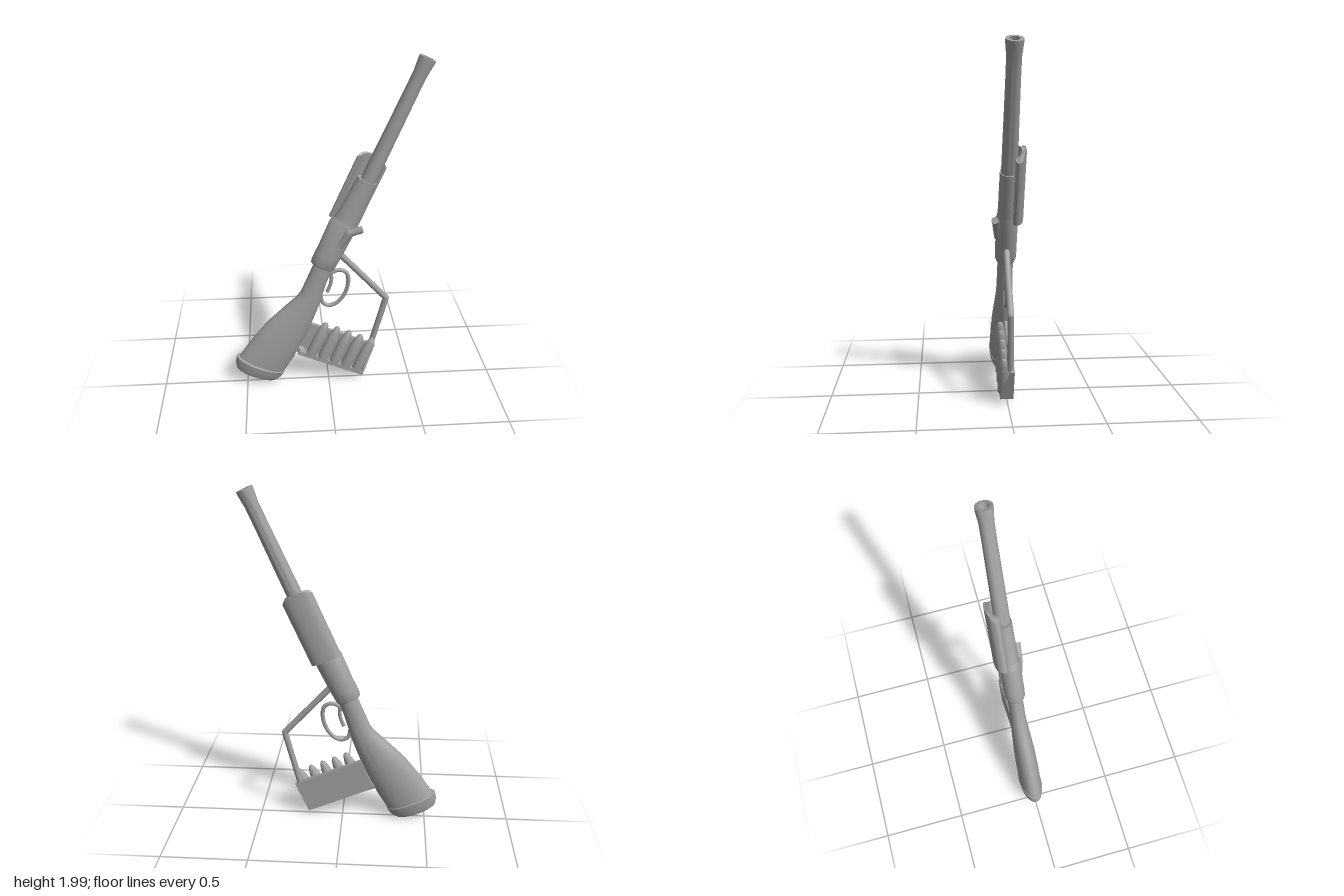
import * as THREE from 'three';
import { toCreasedNormals } from 'three/addons/utils/BufferGeometryUtils.js';

const V = (x, y, z) => new THREE.Vector3(x, y, z);

// Closed loft of elliptical sections, listed bottom to top: [y, xMin, xMax, zHalf]
function loft(sections, sides = 28) {
  const pos = [], idx = [];
  for (const [y, a, b, zh] of sections) {
    for (let i = 0; i < sides; i++) {
      const t = (i / sides) * Math.PI * 2;
      pos.push((a + b) / 2 + ((b - a) / 2) * Math.cos(t), y, zh * Math.sin(t));
    }
  }
  const n = sections.length;
  for (let j = 0; j < n - 1; j++) {
    for (let i = 0; i < sides; i++) {
      const k = (i + 1) % sides, p = j * sides, q = p + sides;
      idx.push(p + i, q + i, p + k, p + k, q + i, q + k);
    }
  }
  [0, n - 1].forEach((j) => {
    const c = pos.length / 3, [y, a, b] = sections[j];
    pos.push((a + b) / 2, y, 0);
    for (let i = 0; i < sides; i++) {
      const p = j * sides + i, q = j * sides + ((i + 1) % sides);
      if (j === 0) idx.push(c, p, q); else idx.push(c, q, p);
    }
  });
  const g = new THREE.BufferGeometry();
  g.setAttribute('position', new THREE.Float32BufferAttribute(pos, 3));
  g.setIndex(idx);
  return toCreasedNormals(g, 0.5);
}

const lathe = (pts, sides) =>
  toCreasedNormals(new THREE.LatheGeometry(pts.map(([r, y]) => new THREE.Vector2(r, y)), sides), 0.6);

export function createModel() {
  const model = new THREE.Group();
  const steel = new THREE.MeshStandardMaterial({ color: 0x9f9f9f });
  steel.name = 'plain grey';

  const add = (parent, name, geometry, x = 0, y = 0, z = 0) => {
    const m = new THREE.Mesh(geometry, steel);
    m.name = name;
    m.position.set(x, y, z);
    parent.add(m);
    return m;
  };
  // Tapered rod between two points
  const rod = (parent, name, a, b, ra, rb = ra, sides = 14) => {
    const d = b.clone().sub(a);
    const m = add(parent, name, new THREE.CylinderGeometry(rb, ra, d.length(), sides));
    m.position.copy(a).addScaledVector(d, 0.5);
    m.quaternion.setFromUnitVectors(V(0, 1, 0), d.normalize());
    return m;
  };

  // Tilted body: local y runs along the barrel, with 0 at the muzzle
  const body = new THREE.Group();
  body.name = 'tiltedBody';
  body.position.set(0.513, 1.98, -0.006);
  body.rotation.z = -0.4149;
  model.add(body);

  // Barrel with flared muzzle and bore
  add(body, 'barrel', lathe([
    [0, -0.95], [0.045, -0.95], [0.044, -0.7], [0.039, -0.2], [0.039, -0.09],
    [0.046, -0.02], [0.046, 0], [0.028, 0], [0.026, -0.16], [0, -0.16],
  ], 28));

  // Sleeve and receiver
  add(body, 'sleeve', loft([
    [-1.03, -0.088, 0.06, 0.056], [-0.95, -0.078, 0.06, 0.053], [-0.73, -0.064, 0.052, 0.05],
  ]));
  add(body, 'receiver', loft([
    [-1.31, -0.094, 0.046, 0.054], [-1.295, -0.098, 0.05, 0.06], [-1.24, -0.098, 0.054, 0.062],
    [-1.21, -0.096, 0.056, 0.061], [-1.03, -0.1, 0.064, 0.061], [-0.99, -0.08, 0.06, 0.053],
  ]));

  // Curved shell along the back of the sleeve
  const s = new THREE.Shape();
  s.moveTo(-0.09, 0.025);
  s.quadraticCurveTo(-0.105, 0.03, -0.105, 0.045);
  s.quadraticCurveTo(-0.095, 0.088, -0.015, 0.088);
  s.quadraticCurveTo(0.066, 0.088, 0.076, 0.045);
  s.quadraticCurveTo(0.076, 0.03, 0.06, 0.025);
  s.quadraticCurveTo(0.04, 0.062, -0.015, 0.062);
  s.quadraticCurveTo(-0.07, 0.062, -0.09, 0.025);
  const shell = new THREE.ExtrudeGeometry(s, { depth: 0.42, bevelEnabled: false, steps: 12, curveSegments: 10 });
  shell.rotateX(-Math.PI / 2); // extrusion runs up, profile faces the back
  const sp = shell.attributes.position;
  for (let i = 0; i < sp.count; i++) { // round the corners of the upper end
    const e = Math.abs(sp.getX(i) + 0.015) / 0.09;
    if (sp.getY(i) > 0.41) sp.setY(i, 0.42 - 0.045 * Math.pow(e, 4));
  }
  shell.computeVertexNormals();
  add(body, 'backShell', toCreasedNormals(shell, 0.5), 0, -1.022, 0);

  // Stock and butt pad
  add(body, 'stock', loft([
    [-2.08, -0.247, 0.046, 0.066], [-1.95, -0.222, 0.064, 0.068], [-1.79, -0.181, 0.071, 0.064],
    [-1.66, -0.128, 0.07, 0.056], [-1.55, -0.08, 0.064, 0.049], [-1.51, -0.072, 0.058, 0.047],
    [-1.4, -0.073, 0.044, 0.045], [-1.28, -0.075, 0.036, 0.045],
  ], 32));
  add(body, 'buttPad', loft([
    [-2.152, -0.215, 0.005, 0.045], [-2.145, -0.23, 0.02, 0.054], [-2.11, -0.252, 0.046, 0.066],
    [-2.068, -0.26, 0.053, 0.071], [-2.062, -0.25, 0.046, 0.066],
  ], 32));

  // Cartridge rack: back plate, ledge and end wall
  add(body, 'rackPlate', new THREE.BoxGeometry(0.43, 0.2, 0.024), 0.285, -1.8, -0.014);
  add(body, 'rackLedge', new THREE.BoxGeometry(0.43, 0.025, 0.075), 0.285, -1.8875, 0.012);
  const wall = new THREE.Shape();
  wall.moveTo(0, 0);
  wall.lineTo(0.075, 0);
  wall.lineTo(0.075, 0.025);
  wall.lineTo(0.02, 0.2);
  wall.lineTo(0, 0.2);
  const wallGeo = new THREE.ExtrudeGeometry(wall, { depth: 0.012, bevelEnabled: false });
  wallGeo.rotateY(-Math.PI / 2);
  add(body, 'rackEndWall', wallGeo, 0.5, -1.9, -0.026);
  rod(body, 'rackStub', V(0.02, -1.888, -0.005), V(0.1, -1.888, -0.005), 0.022);

  // Row of cartridges
  const cartridge = lathe([
    [0, 0], [0.032, 0], [0.032, 0.16], [0.03, 0.168], [0.025, 0.195],
    [0.018, 0.222], [0.01, 0.234], [0, 0.237],
  ], 18);
  for (let i = 0; i < 5; i++) add(body, 'cartridge' + (i + 1), cartridge, 0.148 + i * 0.0765, -1.878, 0.03);

  // Bolt handle
  rod(model, 'boltArm', V(0.055, 0.935, 0.042), V(0.115, 1.025, 0.055), 0.022, 0.024);
  rod(model, 'boltKnob', V(0.11, 1.02, 0.055), V(0.183, 1.048, 0.068), 0.021, 0.02);
  add(model, 'boltElbow', new THREE.SphereGeometry(0.023, 14, 10), 0.113, 1.022, 0.055);

  // Trigger guard and trigger
  const guard = new THREE.CatmullRomCurve3([
    [0.0, 0.72], [0.03, 0.75], [0.07, 0.758], [0.105, 0.738], [0.116, 0.685], [0.098, 0.605],
    [0.055, 0.545], [0.005, 0.524], [-0.035, 0.545], [-0.048, 0.6],
  ].map(([x, y]) => V(x, y, -0.005)));
  add(model, 'triggerGuard', new THREE.TubeGeometry(guard, 48, 0.012, 8));
  const trig = new THREE.CatmullRomCurve3([
    V(0.0, 0.77, -0.005), V(0.016, 0.72, -0.005), V(0.012, 0.67, -0.005), V(-0.008, 0.615, -0.005),
  ]);
  add(model, 'trigger', new THREE.TubeGeometry(trig, 16, 0.011, 8));

  // Bent support rod from the receiver to the rack
  const bend = V(0.342, 0.562, -0.004);
  rod(model, 'upperStrut', V(0.05, 0.88, -0.004), bend, 0.018);
  rod(model, 'lowerStrut', bend, V(0.258, 0.23, -0.01), 0.018);
  add(model, 'strutElbow', new THREE.SphereGeometry(0.018, 14, 10), bend.x, bend.y, bend.z);

  return model;
}
